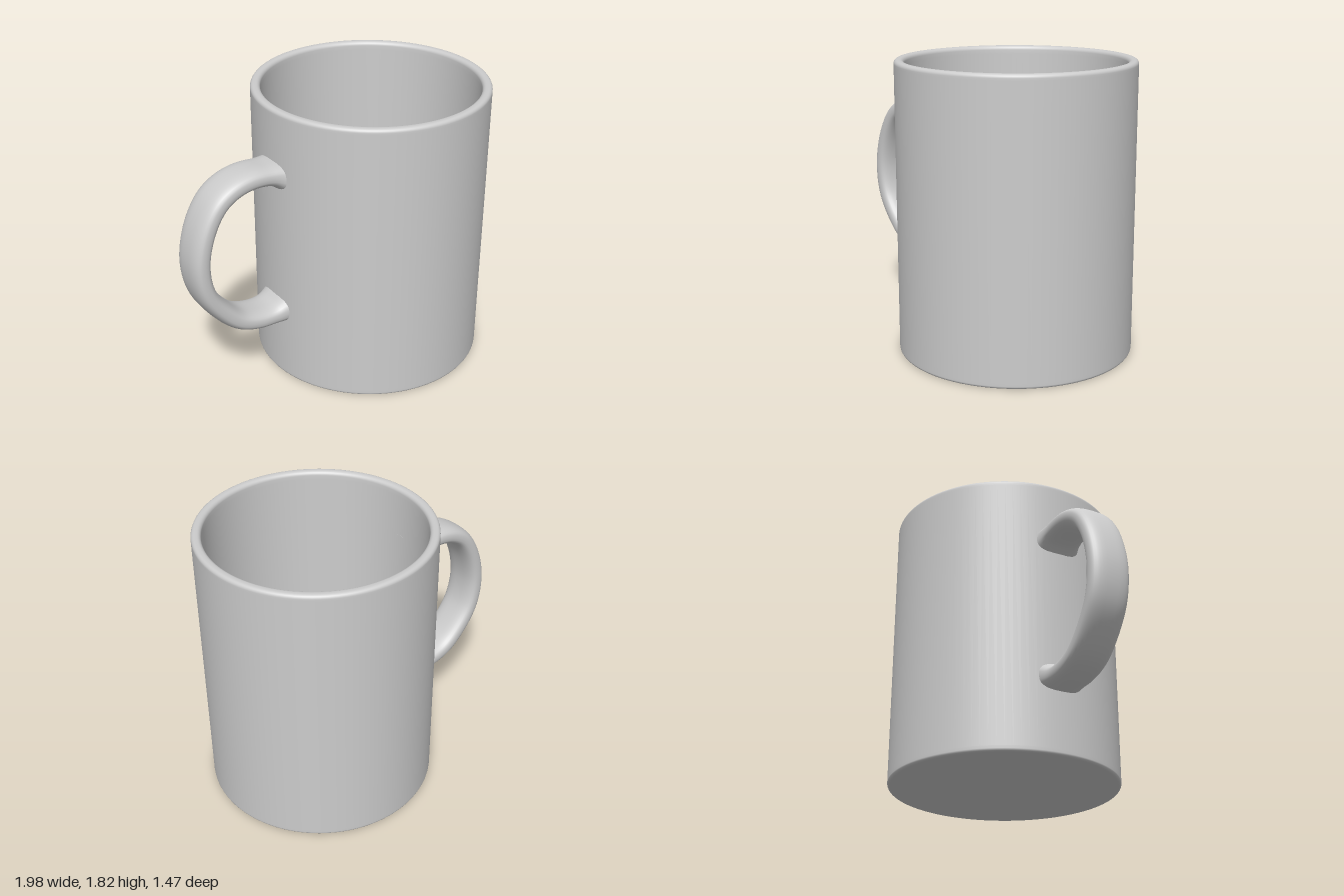
import * as THREE from 'three';

const material = new THREE.MeshStandardMaterial({ color: 0xcccccc });

// Points along a rounded profile corner, with a tight start and end for clean shading
function corner(cx, cy, r, from, to, steps = 6) {
  const points = [];
  for (let i = 0; i <= steps; i++) {
    const a = THREE.MathUtils.degToRad(from + ((to - from) * i) / steps);
    points.push(new THREE.Vector2(cx + r * Math.cos(a), cy + r * Math.sin(a)));
  }
  return points;
}

// Cup wall, rim, inside and floor as one turned profile
function cupGeometry() {
  const v = (x, y) => new THREE.Vector2(x, y);
  const profile = [
    v(0, 0), v(0.7, 0),
    ...corner(0.715, 0.018, 0.018, -90, 0),
    v(0.733, 0.035), v(0.733, 1.785),
    ...corner(0.71, 1.797, 0.023, 0, 90),
    v(0.705, 1.82),
    ...corner(0.698, 1.794, 0.026, 90, 180),
    v(0.671, 1.77), v(0.654, 0.18),
    ...corner(0.594, 0.16, 0.06, 0, -90),
    v(0.57, 0.1), v(0, 0.1),
  ];
  return new THREE.LatheGeometry(profile, 96);
}

// Handle: a rounded flat section swept along a planar curve, flared at both ends
function handleGeometry() {
  const path = new THREE.CatmullRomCurve3([
    [0.69, 1.405], [0.77, 1.425], [0.92, 1.435], [1.04, 1.405], [1.14, 1.335],
    [1.23, 1.18], [1.273, 0.97], [1.24, 0.77], [1.13, 0.605], [1.02, 0.51],
    [0.89, 0.468], [0.77, 0.467], [0.69, 0.485],
  ].map(([x, y]) => new THREE.Vector3(x, y, 0)), false, 'centripetal');

  const rings = 100, sides = 32;
  const positions = [], indices = [];
  const soften = (x, power) => Math.sign(x) * Math.abs(x) ** power;
  for (let i = 0; i <= rings; i++) {
    const p = path.getPointAt(i / rings);
    const t = path.getTangentAt(i / rings);
    const flare = Math.max(0, 1 - (p.x - 0.69) / 0.14) ** 2;
    const thick = 0.062 + 0.035 * flare;
    const wide = 0.13 + 0.025 * flare;
    for (let j = 0; j < sides; j++) {
      const a = (j / sides) * Math.PI * 2;
      const n = thick * soften(Math.cos(a), 0.75);
      positions.push(p.x - t.y * n, p.y + t.x * n, wide * soften(Math.sin(a), 0.75));
      if (i === rings) continue;
      const k = (j + 1) % sides;
      const here = i * sides, next = here + sides;
      indices.push(here + j, here + k, next + j, here + k, next + k, next + j);
    }
  }
  const geometry = new THREE.BufferGeometry();
  geometry.setAttribute('position', new THREE.Float32BufferAttribute(positions, 3));
  geometry.setIndex(indices);
  geometry.computeVertexNormals();
  return geometry;
}

export function createModel() {
  const mug = new THREE.Group();
  mug.name = 'mug';

  const cup = new THREE.Mesh(cupGeometry(), material);
  cup.name = 'cup';

  // The handle points to the right and a little forward
  const handle = new THREE.Mesh(handleGeometry(), material);
  handle.name = 'handle';
  handle.rotation.y = Math.PI + 0.412;

  for (const part of [cup, handle]) {
    part.position.x = 0.266;
    mug.add(part);
  }
  return mug;
}
